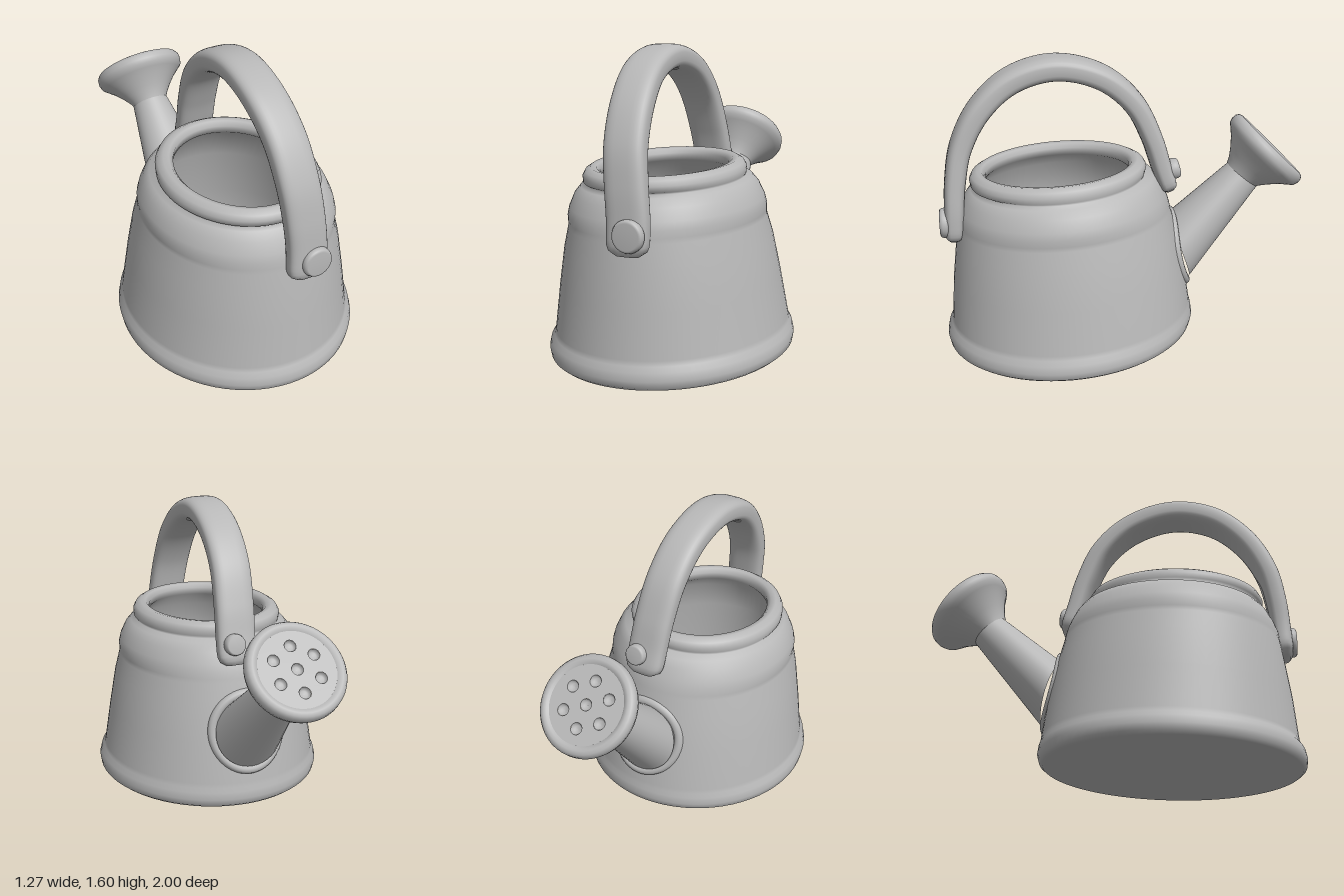
import * as THREE from 'three';

const grey = new THREE.MeshStandardMaterial({ color: 0xb8b8b8 });
grey.name = 'plain grey';
const V = (x, y, z) => new THREE.Vector3(x, y, z);

// Skin a list of closed rings (arrays of Vector3 with equal length)
function loft(rings) {
  const n = rings[0].length, index = [];
  for (let i = 0; i < rings.length - 1; i++) {
    for (let j = 0; j < n; j++) {
      const a = i * n + j, b = i * n + (j + 1) % n, c = a + n, d = b + n;
      index.push(a, c, b, b, c, d);
    }
  }
  const geo = new THREE.BufferGeometry().setFromPoints(rings.flat());
  geo.setIndex(index);
  geo.computeVertexNormals();
  return geo;
}

// Superellipse ring around centre c, spanned by half-axes u and v (power 1 = ellipse)
function ring(c, u, v, n = 32, power = 1) {
  const bend = (k) => Math.sign(k) * Math.abs(k) ** power;
  return Array.from({ length: n }, (_, j) => {
    const t = (j / n) * Math.PI * 2;
    return c.clone().addScaledVector(u, bend(Math.cos(t))).addScaledVector(v, bend(Math.sin(t)));
  });
}

function lathe(points, segments = 40) {
  return new THREE.LatheGeometry(points.map(([r, y]) => new THREE.Vector2(r, y)), segments);
}

export function createModel() {
  const model = new THREE.Group();
  model.name = 'wateringCan';
  const add = (name, geo, parent = model) => {
    const mesh = new THREE.Mesh(geo, grey);
    mesh.name = name;
    parent.add(mesh);
    return mesh;
  };
  const aim = (object, x, y, z) =>
    object.quaternion.setFromUnitVectors(V(0, 1, 0), V(x, y, z).normalize());

  // Body with base band, shoulder, rolled rim and hollow inside: [y, half width, front z, back z]
  const profile = [
    [0.03, 0, 0.31, 0.31], [0.03, 0.58, 0.94, -0.32], [0.03, 0.61, 0.975, -0.355],
    [0.045, 0.628, 0.993, -0.373], [0.08, 0.634, 1.0, -0.382], [0.12, 0.625, 0.992, -0.376],
    [0.145, 0.607, 0.975, -0.368], [0.17, 0.602, 0.967, -0.365], [0.4, 0.565, 0.95, -0.33],
    [0.6, 0.53, 0.925, -0.285], [0.71, 0.5, 0.91, -0.255], [0.735, 0.5, 0.905, -0.25],
    [0.77, 0.502, 0.903, -0.24], [0.81, 0.493, 0.89, -0.225], [0.87, 0.466, 0.862, -0.195],
    [0.91, 0.432, 0.83, -0.165], [0.922, 0.4, 0.8, -0.11], [0.935, 0.408, 0.826, -0.113],
    [0.965, 0.408, 0.832, -0.122], [0.99, 0.395, 0.82, -0.108], [1.008, 0.365, 0.79, -0.075],
    [1.003, 0.335, 0.765, -0.045], [0.98, 0.315, 0.745, -0.025], [0.94, 0.32, 0.75, -0.03],
    [0.86, 0.42, 0.82, -0.14], [0.7, 0.45, 0.86, -0.2], [0.4, 0.51, 0.89, -0.27],
    [0.13, 0.54, 0.91, -0.3], [0.12, 0.5, 0.87, -0.26], [0.12, 0, 0.31, 0.31],
  ];
  const body = loft(profile.map(([y, w, front, back]) =>
    ring(V(-0.02 * y, y, (front + back) / 2), V(w, 0, 0), V(0, 0, (front - back) / 2), 72)
      // the whole can leans slightly forward and to one side
      .map((p) => p.setY(p.y + (0.31 - p.z) * 0.045 + p.x * 0.02))));
  add('body', body);

  // Arched strap handle
  const path = new THREE.CatmullRomCurve3([
    V(0.045, 0.635, 0.93), V(0.045, 0.8, 0.92), V(0.03, 0.96, 0.905), V(0.01, 1.14, 0.865),
    V(-0.005, 1.33, 0.76), V(-0.02, 1.475, 0.59), V(-0.02, 1.535, 0.36), V(-0.01, 1.475, 0.12),
    V(0.0, 1.33, -0.05), V(0.015, 1.13, -0.15), V(0.025, 0.97, -0.2), V(0.03, 0.84, -0.245),
  ]);
  const length = path.getLength(), handle = [];
  const steps = 90;
  for (let i = 0; i <= steps; i++) {
    const k = i / steps, c = path.getPointAt(k), t = path.getTangentAt(k);
    const d = Math.min(1, (Math.min(k, 1 - k) * length) / 0.07);
    const round = 0.55 + 0.45 * Math.sqrt(1 - (1 - d) ** 2);
    const thick = 0.05 + 0.014 * Math.sin(k * Math.PI);
    const out = V(0, -t.z, t.y).normalize();
    const section = ring(c, V(0.106 * round, 0, 0), out.multiplyScalar(thick * round), 32, 0.65);
    const tip = ring(c, V(0, 0, 0), V(0, 0, 0));
    if (i === 0) handle.push(tip);
    handle.push(section);
    if (i === steps) handle.push(tip);
  }
  add('handle', loft(handle));

  // Rivets holding the handle
  const rivet = (name, r, h, x, y, z, nx, ny, nz) => {
    const mesh = add(name, lathe([[0, 0], [r * 0.92, 0], [r, h * 0.3], [r, h * 0.65],
      [r * 0.93, h * 0.9], [r * 0.8, h], [0, h]]));
    mesh.position.set(x, y, z);
    aim(mesh, nx, ny, nz);
  };
  rivet('frontRivet', 0.08, 0.05, 0.07, 0.74, 0.95, 0, 0, 1);
  rivet('backRivet', 0.057, 0.06, 0.055, 0.955, -0.235, 0, 0.22, -1);

  // Tapered spout
  const spout = [];
  for (let i = 0; i <= 12; i++) {
    const k = i / 12, mix = (a, b) => a + (b - a) * k;
    spout.push(ring(V(mix(-0.01, -0.028), mix(0.47, 0.88), mix(-0.31, -0.69)),
      V(mix(0.19, 0.1), 0, 0), V(0, mix(0.175, 0.07), mix(0.06, 0.075)), 40));
  }
  add('spout', loft(spout));

  // Collar where the spout meets the body
  const loop = ring(V(-0.01, 0.475, -0.305), V(0.195, 0, 0), V(0, 0.205, 0.045), 32);
  loop.forEach((p) => p.setZ(p.z + p.x * p.x));
  add('spoutCollar', new THREE.TubeGeometry(
    new THREE.CatmullRomCurve3(loop, true), 72, 0.027, 12, true));

  // Sprinkler head: flared cone, rounded lip and dimpled face
  const head = new THREE.Group();
  head.name = 'sprinklerHead';
  head.position.set(-0.03, 1.02, -0.82);
  aim(head, 0, 1, -1);
  model.add(head);
  add('sprinklerCone', lathe([[0.1, -0.22], [0.115, -0.19], [0.145, -0.15], [0.19, -0.1],
    [0.225, -0.07], [0.248, -0.05], [0.256, -0.025], [0.254, 0], [0.243, 0.017],
    [0.225, 0.023], [0.21, 0.018], [0.2, 0.01]], 48), head);

  const face = new THREE.Shape().absarc(0, 0, 0.201, 0, Math.PI * 2);
  const spots = [[0, 0]];
  for (let i = 0; i < 6; i++) {
    const a = Math.PI / 2 + (i * Math.PI) / 3;
    spots.push([0.122 * Math.cos(a), 0.122 * Math.sin(a)]);
  }
  for (const [x, y] of spots) {
    face.holes.push(new THREE.Path().absarc(x, y, 0.03, 0, Math.PI * 2, true));
    const dimple = add('dimple', lathe([[0.03, 0], [0.027, -0.012], [0.018, -0.02], [0, -0.022]], 20), head);
    dimple.position.set(x, 0.01, -y);
  }
  const plate = add('sprinklerFace', new THREE.ShapeGeometry(face, 24), head);
  plate.rotation.x = -Math.PI / 2;
  plate.position.y = 0.01;

  return model;
}
